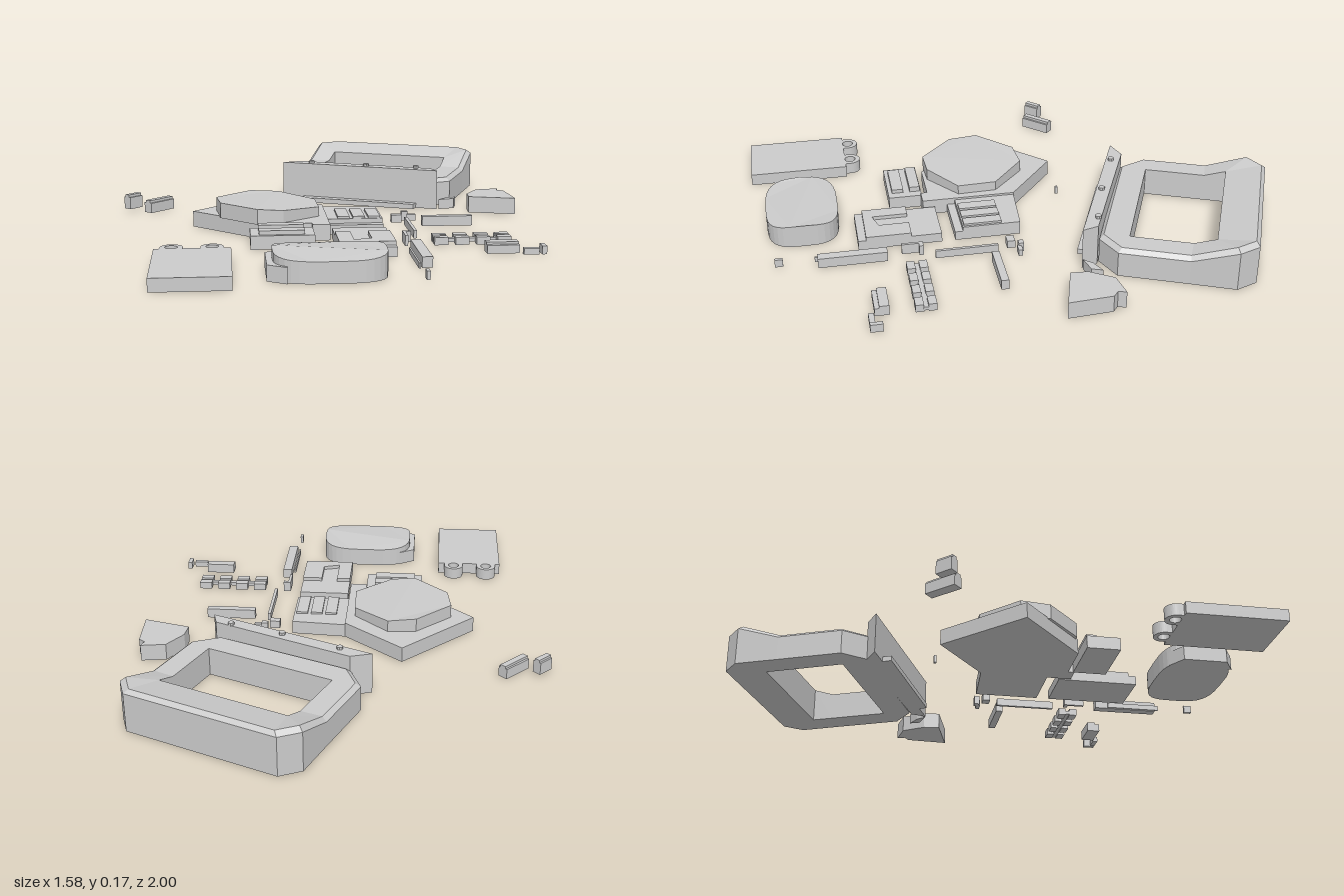
import * as THREE from 'three';

const material = new THREE.MeshStandardMaterial({ color: 0xcccccc, flatShading: true });

function addMesh(parent, name, geometry) {
  const mesh = new THREE.Mesh(geometry, material);
  mesh.name = name;
  parent.add(mesh);
  return mesh;
}

// Vertical prism over a plan outline of [x, z] points
function prism(parent, name, plan, y0, y1, topRule) {
  const shape = new THREE.Shape(plan.map(([x, z]) => new THREE.Vector2(x, -z)));
  return extrude(parent, name, shape, y0, y1, topRule);
}

function extrude(parent, name, shape, y0, y1, topRule) {
  let geo = new THREE.ExtrudeGeometry(shape, { depth: y1 - y0, bevelEnabled: false, curveSegments: 10 });
  geo.rotateX(-Math.PI / 2).translate(0, y0, 0);
  if (topRule) {
    const p = geo.attributes.position;
    for (let i = 0; i < p.count; i++) {
      if (p.getY(i) > (y0 + y1) / 2) p.setY(i, topRule(p.getX(i), p.getZ(i)));
    }
    geo.computeVertexNormals();
  }
  return addMesh(parent, name, geo);
}

// Box given by its plan limits and heights
function block(parent, name, x0, x1, z0, z1, y0, y1) {
  const mesh = addMesh(parent, name, new THREE.BoxGeometry(x1 - x0, y1 - y0, z1 - z0));
  mesh.position.set((x0 + x1) / 2, (y0 + y1) / 2, (z0 + z1) / 2);
  return mesh;
}

// Closed loft through a cycle of loops with equal point counts
function loft(loops) {
  const pos = [];
  loops.forEach((low, k) => {
    const high = loops[(k + 1) % loops.length];
    low.forEach((a, i) => {
      const j = (i + 1) % low.length;
      pos.push(...a, ...high[i], ...high[j], ...a, ...high[j], ...low[j]);
    });
  });
  const geo = new THREE.BufferGeometry();
  geo.setAttribute('position', new THREE.Float32BufferAttribute(pos, 3));
  geo.computeVertexNormals();
  return geo;
}

function buildRing(parent) {
  const mirror = (half) => [...half, ...half.slice().reverse().map(([x, z]) => [-x, z])];
  const outer = mirror([[0.30, -0.293], [0.36, -0.228], [0.358, -0.06], [0.357, 0.2], [0.277, 0.28]]);
  const hole = mirror([[0.257, -0.142], [0.257, -0.142], [0.257, -0.06], [0.257, 0.172], [0.257, 0.172]]);
  // High at the back, stepping down to the front
  const top = (z) => 0.11 + 0.055 * THREE.MathUtils.clamp((-0.06 - z) / 0.168, 0, 1);
  const ring = addMesh(parent, 'ringFrame', loft([
    outer.map(([x, z]) => [x, 0, z]),
    outer.map(([x, z]) => [x, top(z) - 0.015, z]),
    outer.map(([x, z]) => [x * 0.95, top(z), z * 0.95]),
    hole.map(([x, z]) => [x, top(z), z]),
    hole.map(([x, z]) => [x, 0, z]),
  ]));
  ring.position.set(0.31, 0, -0.61);
  ring.rotation.y = -0.4;
}

function buildFence(parent) {
  prism(parent, 'fencePanel', [[-0.13, -0.44], [-0.05, -0.465], [0.47, -0.235], [0.487, -0.173]], 0, 0.16);
  prism(parent, 'fenceFoot', [[-0.06, -0.37], [-0.04, -0.41], [0.41, -0.215], [0.39, -0.18]], 0, 0.02);
  for (const [x, z] of [[-0.01, -0.41], [0.21, -0.315], [0.41, -0.25]]) {
    addMesh(parent, 'fencePeg', new THREE.CylinderGeometry(0.012, 0.012, 0.02, 8)).position.set(x, 0.16, z);
  }
}

function buildHub(parent) {
  prism(parent, 'hubBase', [[-0.23, -0.205], [0, -0.015], [0, 0.345], [-0.065, 0.345], [-0.065, 0.32],
    [-0.235, 0.32], [-0.505, 0.07]], 0, 0.06);
  prism(parent, 'hubCap', [[-0.28, -0.065], [-0.17, -0.075], [-0.035, 0.05], [-0.03, 0.2], [-0.17, 0.305],
    [-0.265, 0.31], [-0.4, 0.18], [-0.415, 0.065]], 0.055, 0.11, (x) => Math.min(0.113, 0.108 - (x + 0.2) * 0.07));
  // Side wing with raised panels and a lower step
  prism(parent, 'wing', [[0, -0.015], [0.21, 0], [0.21, 0.22], [0, 0.22]], 0, 0.052);
  block(parent, 'wingStep', 0, 0.21, 0.22, 0.25, 0, 0.035);
  for (let i = 0; i < 3; i++) block(parent, 'wingPanel', 0.04 + i * 0.058, 0.085 + i * 0.058, 0.07, 0.215, 0.05, 0.06);
}

function buildTrays(parent) {
  block(parent, 'ridgedTray', -0.295, -0.065, 0.34, 0.47, 0, 0.05);
  block(parent, 'trayRidge', -0.265, -0.1, 0.345, 0.385, 0.05, 0.07);
  block(parent, 'trayRidge', -0.265, -0.1, 0.41, 0.455, 0.05, 0.065);
  block(parent, 'notchedTray', 0.01, 0.21, 0.3, 0.615, 0, 0.036);
  prism(parent, 'notchedTop', [[0.01, 0.415], [0.065, 0.415], [0.065, 0.55], [0.13, 0.53], [0.13, 0.415],
    [0.21, 0.415], [0.21, 0.585], [0.01, 0.585]], 0.035, 0.05);
}

// Flat plate with two hanging loops
function buildPlate(parent) {
  block(parent, 'plate', -0.63, -0.365, 0.615, 1, 0, 0.046);
  for (const x of [-0.57, -0.43]) {
    const loop = new THREE.Shape();
    loop.moveTo(x + 0.04, -0.62).lineTo(x + 0.04, -0.595);
    loop.absarc(x, -0.595, 0.04, 0, Math.PI, false).lineTo(x - 0.04, -0.62);
    const eye = new THREE.Path();
    eye.absarc(x, -0.595, 0.022, 0, Math.PI * 2, true);
    loop.holes.push(eye);
    extrude(parent, 'plateLoop', loop, 0, 0.046);
  }
}

// Rounded block with a gently crowned top
function buildPod(parent) {
  const plan = [];
  const power = (v) => Math.sign(v) * Math.abs(v) ** 0.6;
  for (let i = 0; i < 32; i++) {
    const a = i / 32 * Math.PI * 2;
    plan.push([-0.045 + 0.19 * power(Math.cos(a)), 0.81 + 0.137 * power(Math.sin(a))]);
  }
  prism(parent, 'podBody', plan, 0, 0.08, (x, z) => 0.088 - (z - 0.81) ** 2 * 0.8);
  prism(parent, 'podFlange', [[-0.255, 0.73], [-0.19, 0.69], [-0.19, 0.94], [-0.255, 0.9]], 0, 0.055);
}

function buildLooseParts(parent) {
  prism(parent, 'wedge', [[0.605, -0.1], [0.61, -0.165], [0.665, -0.25], [0.76, -0.265], [0.75, -0.235],
    [0.775, -0.215], [0.785, -0.05]], 0, 0.065);
  prism(parent, 'sliver', [[0.495, -0.175], [0.52, -0.205], [0.575, -0.23], [0.56, -0.19]], 0, 0.04);

  // Two chamfered lugs lying diagonally
  for (const [x, z, length, width, y0, y1] of [[-0.755, -0.253, 0.065, 0.035, 0.012, 0.07], [-0.65, -0.25, 0.125, 0.04, 0, 0.05]]) {
    const l = length / 2, w = width / 2;
    const lug = new THREE.Group();
    lug.name = 'lug';
    prism(lug, 'lugBody', [[-l, -w], [l, -w], [l, w], [-l, w]], y0, y1 - 0.01);
    prism(lug, 'lugTop', [[-l, -w * 0.6], [l, -w * 0.6], [l, w * 0.6], [-l, w * 0.6]], y1 - 0.012, y1);
    lug.position.set(x, 0, z);
    lug.rotation.y = 0.8;
    parent.add(lug);
  }

  // Clips: two rows of four on a rod
  for (let i = 0; i < 4; i++) {
    const x = 0.368 + i * 0.077;
    for (const z of [0.38, 0.426]) block(parent, 'clip', x, x + 0.05, z, z + 0.03, 0, 0.028);
  }
  block(parent, 'clipRod', 0.37, 0.65, 0.408, 0.428, 0.005, 0.018);

  // Bars, pins and small blocks: x0, x1, z0, z1, height
  const small = [
    ['pin', -0.072, -0.06, -0.208, -0.198, 0.03], ['smallBlock', 0.265, 0.305, 0.038, 0.068, 0.03],
    ['hook', 0.31, 0.335, 0.01, 0.03, 0.035], ['hook', 0.33, 0.365, 0.02, 0.036, 0.025],
    ['thinBar', 0.31, 0.322, 0.105, 0.34, 0.03], ['bar', 0.375, 0.57, 0.112, 0.14, 0.038],
    ['bracket', 0.26, 0.29, 0.38, 0.396, 0.04], ['bracket', 0.26, 0.271, 0.39, 0.46, 0.04],
    ['thinBar', 0.258, 0.264, 0.565, 0.78, 0.02], ['bar', 0.27, 0.307, 0.515, 0.77, 0.038],
    ['cap', 0.53, 0.645, 0.545, 0.597, 0.03], ['capRidge', 0.53, 0.645, 0.545, 0.58, 0.038],
    ['smallBlock', 0.655, 0.71, 0.6, 0.62, 0.022], ['pin', 0.72, 0.737, 0.575, 0.62, 0.03],
    ['pin', 0.26, 0.272, 0.895, 0.925, 0.03],
  ];
  for (const [name, x0, x1, z0, z1, h] of small) block(parent, name, x0, x1, z0, z1, 0, h);
}

export function createModel() {
  const model = new THREE.Group();
  model.name = 'partsLayout';
  const builders = { ring: buildRing, fence: buildFence, hub: buildHub, trays: buildTrays,
    hangingPlate: buildPlate, pod: buildPod, looseParts: buildLooseParts };
  for (const [name, build] of Object.entries(builders)) {
    const group = new THREE.Group();
    group.name = name;
    build(group);
    model.add(group);
  }
  return model;
}
